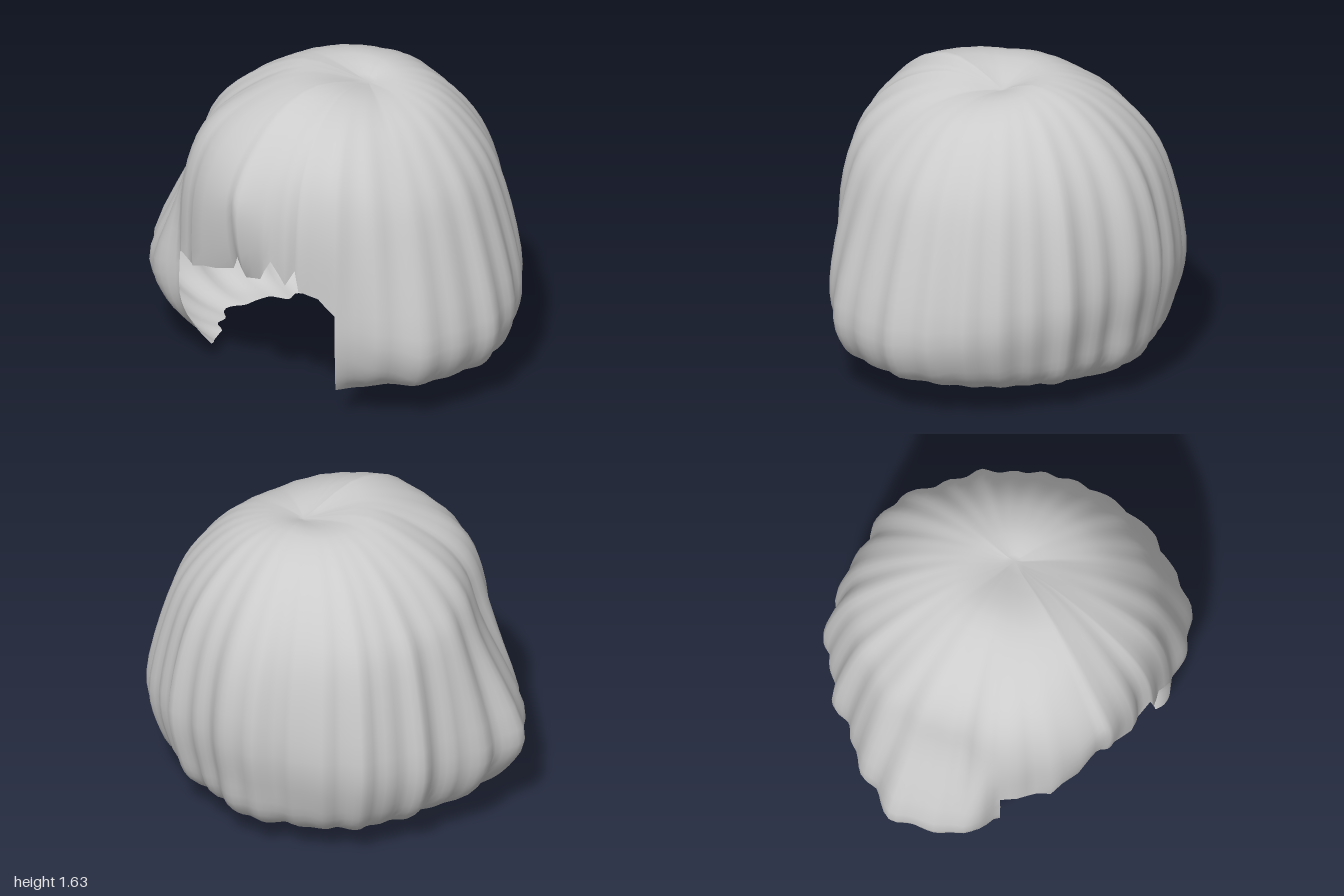
import * as THREE from 'three';

const { lerp, degToRad } = THREE.MathUtils;

// Profiles from crown to hem as [radius, height] pairs
const back = [0, 1.57, .2, 1.62, .44, 1.55, .67, 1.35, .82, 1.08, .88, .75, .84, .45, .75, .19, .39, .02];
const rightSide = [0, 1.57, .28, 1.63, .52, 1.5, .7, 1.3, .81, 1.08, .92, .55, .87, .28, .72, .15, .56, .12];
const rightLock = [0, 1.57, .28, 1.64, .54, 1.5, .71, 1.3, .81, 1, 1.02, .52, .95, .3, .8, .17, .64, .11];
const rightEdge = [0, 1.57, .28, 1.64, .55, 1.53, .74, 1.35, .83, 1.05, .84, .66, .84, .4, .77, .23, .66, .09];
const fringe = [0, 1.57, .3, 1.65, .55, 1.58, .73, 1.42, .84, 1.27, .88, 1.13, .84, .87, .75, .68, .65, .4];
const leftEdge = [0, 1.57, .27, 1.6, .53, 1.52, .74, 1.33, .83, 1.05, .85, .66, .85, .45, .82, .28, .77, .17];
const leftSide = [0, 1.57, .26, 1.57, .52, 1.48, .74, 1.26, .86, 1, .99, .5, .94, .27, .82, .19, .67, .17];

// Which profile lies at which angle (0 = front, + = left)
const KEYS = [[-180, back], [-90, rightSide], [-70, rightLock], [-52, rightLock], [-38.5, rightEdge],
  [0, fringe], [38.5, leftEdge], [65, leftSide], [90, leftSide], [180, back]];

// Widest radius of the locks every 10 degrees, from the back round the right side
const WIDEST = [.88, .88, .84, .88, .87, .91, .87, .9, .87, .94, .97, 1.05, 1, .99, .87, .85, .87, .86,
  .87, .86, .84, .86, .87, .92, .97, 1, .98, 1, .98, .95, .92, .89, .85, .87, .83, .84];

// Jagged fringe hem as [x, y] points
const FRINGE = [[-.52, .65], [-.44, .7], [-.35, .67], [-.22, .72], [-.05, .76], [0, .85], [.04, .74],
  [.14, .77], [.21, .9], [.27, .76], [.33, .87], [.35, .76], [.44, .72], [.52, .64]];

const EDGE = 38.5, UPPER = 18, LOWER = 12, AROUND = 130;

// Locks: broad ones from the radii, finer strands from a ripple
function lockRadius(deg) {
  const s = (deg + 180) / 10, i = Math.floor(s);
  const a = degToRad(deg);
  return lerp(WIDEST[i % 36], WIDEST[(i + 1) % 36], s - i) + .013 * Math.sin(29 * a + Math.sin(3 * a));
}

// Blend the nearest profiles, then push the curve out or in to form the locks
function profileAt(deg) {
  let i = 0;
  while (i < KEYS.length - 2 && deg > KEYS[i + 1][0]) i++;
  const [a0, p] = KEYS[i], [a1, q] = KEYS[i + 1];
  const w = (deg - a0) / (a1 - a0);
  const pts = [];
  for (let k = 0; k < p.length; k += 2) {
    pts.push(new THREE.Vector2(lerp(p[k], q[k], w), lerp(p[k + 1], q[k + 1], w)));
  }
  const push = lockRadius(deg) / Math.max(...pts.map(pt => pt.x)) - 1;
  pts.forEach((pt, k) => { pt.x *= 1 + push * Math.min(1, k / 5); });
  return new THREE.SplineCurve(pts);
}

// Where the profile drops to a given height
function findHeight(curve, y) {
  let lo = .25, hi = 1;
  for (let i = 0; i < 24; i++) {
    const mid = (lo + hi) / 2;
    if (curve.getPoint(mid).y > y) lo = mid; else hi = mid;
  }
  return lo;
}

// Columns of the hair, starting with the fringe and going round the back
function makeColumns() {
  const cols = [];
  const toDeg = x => x / .52 * EDGE;
  FRINGE.forEach(([x, y], i) => {
    cols.push({ deg: toDeg(x), hem: y, open: i > 0 && i < FRINGE.length - 1 });
    const next = FRINGE[i + 1];
    if (next) cols.push({ deg: toDeg((x + next[0]) / 2), hem: (y + next[1]) / 2, open: true });
  });
  for (let i = 1; i < AROUND; i++) {
    let deg = EDGE + (360 - 2 * EDGE) * i / AROUND;
    if (deg > 180) deg -= 360;
    cols.push({ deg, hem: .65, open: false });
  }
  return cols;
}

function hairGeometry() {
  const cols = makeColumns(), rows = UPPER + LOWER;
  const pos = [.12, 1.57, -.05], index = [];
  cols.forEach(({ deg, hem, open }) => {
    const curve = profileAt(deg), cut = findHeight(curve, hem);
    const a = degToRad(deg);
    // Uneven lower hem
    const end = .985 + .015 * Math.cos(19 * a + Math.PI);
    for (let j = 1; j <= rows; j++) {
      const t = j <= UPPER ? cut * j / UPPER
        : open ? cut : lerp(cut, end, (j - UPPER) / LOWER);
      const p = curve.getPoint(t);
      // Draw the strands together at the off-centre crown
      const crown = Math.max(0, 1 - t * 2.2) ** 2;
      pos.push(p.x * Math.sin(a) + .12 * crown, p.y, p.x * Math.cos(a) - .05 * crown);
    }
  });
  const at = (c, j) => 1 + (c % cols.length) * rows + j - 1;
  for (let c = 0; c < cols.length; c++) {
    const d = c + 1;
    const last = cols[c].open || cols[d % cols.length].open ? UPPER : rows;
    index.push(0, at(c, 1), at(d, 1));
    for (let j = 1; j < last; j++) {
      index.push(at(c, j), at(c, j + 1), at(d, j), at(d, j), at(c, j + 1), at(d, j + 1));
    }
  }
  const geo = new THREE.BufferGeometry();
  geo.setAttribute('position', new THREE.Float32BufferAttribute(pos, 3));
  geo.setIndex(index);
  geo.computeVertexNormals();
  return geo;
}

export function createModel() {
  const group = new THREE.Group();
  group.name = 'bobWig';
  const hair = new THREE.Mesh(hairGeometry(),
    new THREE.MeshStandardMaterial({ color: 0xcccccc, side: THREE.DoubleSide }));
  hair.name = 'hair';
  group.add(hair);
  return group;
}
